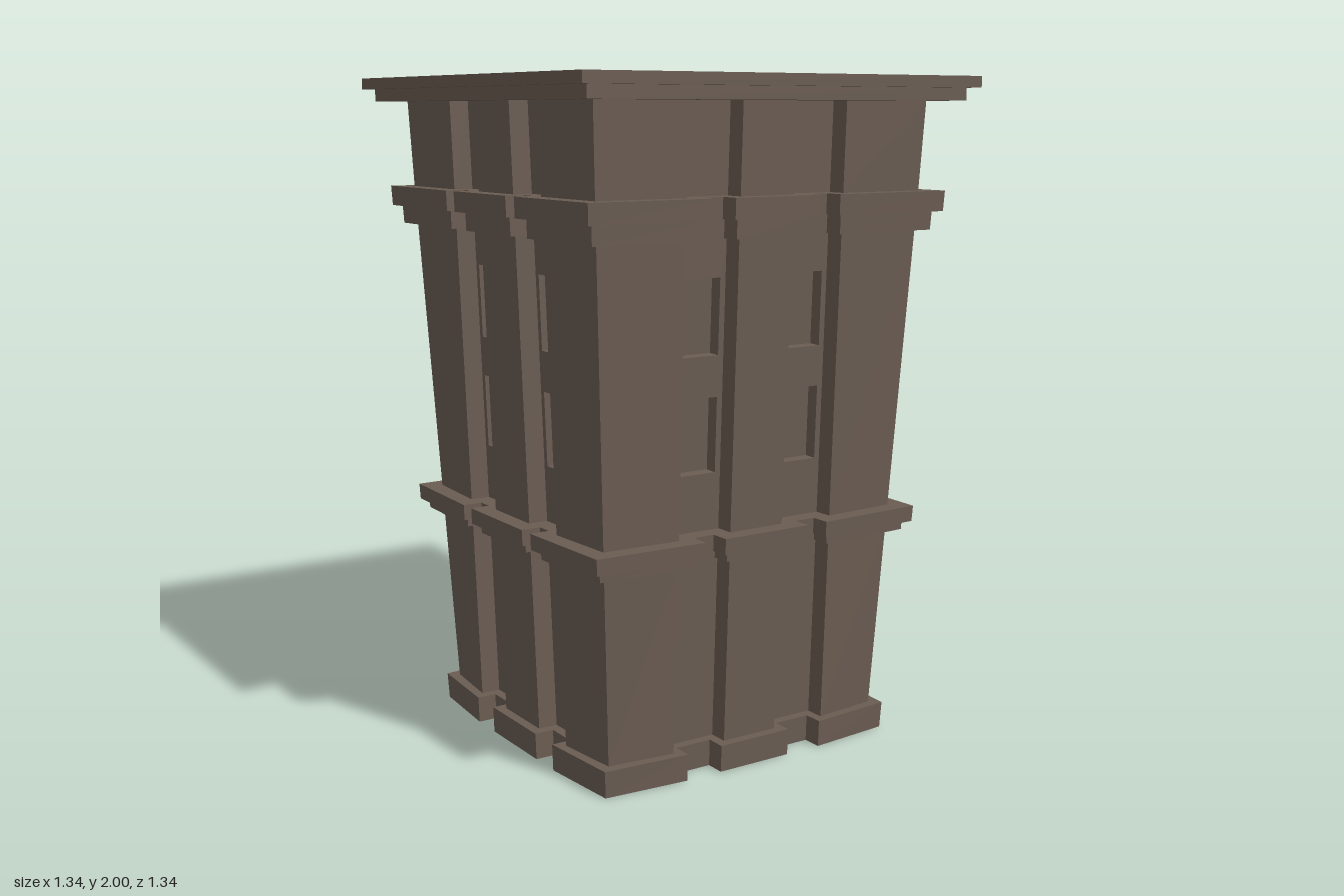
import * as THREE from 'three';

const SLOPE = 0.038;   // outward lean of the walls
const NOTCH = 0.06;    // depth of the vertical recesses
const REVEAL = 0.04;   // depth of the window openings
// per facing: half width at the ground, recess from a to b along the wall
const FACES = [
  { half: 0.495, a: 0.092, b: 0.27, win: 0.142 },   // front and back (along x)
  { half: 0.483, a: 0.104, b: 0.264, win: 0.126 },  // sides (along z)
];
const halfX = (y) => FACES[0].half + SLOPE * y;
const halfZ = (y) => FACES[1].half + SLOPE * y;

// Plan outline at height y, grown outward by o, with two recesses per wall
function outline(y, o, depth) {
  const bow = 0.022 * Math.max(0, 1 - y / 1.8);
  const pts = [];
  for (let k = 0; k < 4; k++) {
    const { a, b } = FACES[k % 2];
    const along = (k % 2 ? halfZ(y) : halfX(y)) + o;
    const out = (k % 2 ? halfX(y) : halfZ(y)) + o;
    const p = a + o, q = b - o, floor = out - depth;
    const run = [
      [-along + bow, out - bow], [-q, out], [-q, floor], [-p, floor], [-p, out],
      [p, out], [p, floor], [q, floor], [q, out],
    ];
    for (const [t, r] of run) {
      pts.push([[t, r], [r, -t], [-t, -r], [-r, t]][k]);
    }
  }
  return pts;
}

// Solid between two outlines, with flat faces
function loft(y0, y1, o, depth = NOTCH) {
  const low = outline(y0, o, depth), high = outline(y1, o, depth);
  const pos = [];
  const put = (ring, y, i) => pos.push(ring[i][0], y, ring[i][1]);
  const n = low.length;
  for (let i = 0; i < n; i++) {
    const j = (i + 1) % n;
    put(low, y0, i); put(low, y0, j); put(high, y1, j);
    put(low, y0, i); put(high, y1, j); put(high, y1, i);
  }
  const contour = low.map(([x, z]) => new THREE.Vector2(x, -z));
  for (const [i, j, k] of THREE.ShapeUtils.triangulateShape(contour, [])) {
    put(high, y1, i); put(high, y1, j); put(high, y1, k);
    put(low, y0, k); put(low, y0, j); put(low, y0, i);
  }
  const geo = new THREE.BufferGeometry();
  geo.setAttribute('position', new THREE.Float32BufferAttribute(pos, 3));
  geo.computeVertexNormals();
  return geo;
}

// Recess wall with two window openings
function windowPanel({ a, b, win }, y0, y1) {
  const w = (b - a) / 2, h = y1 - y0;
  const rect = (path, x, lo, hi) => {
    path.moveTo(-x, lo); path.lineTo(x, lo); path.lineTo(x, hi); path.lineTo(-x, hi);
    path.closePath();
    return path;
  };
  const shape = rect(new THREE.Shape(), w, 0, h);
  for (const [lo, hi] of [[0.885, 1.105], [1.225, 1.445]]) {
    shape.holes.push(rect(new THREE.Path(), win / 2, lo - y0, hi - y0));
  }
  return new THREE.ExtrudeGeometry(shape, { depth: REVEAL, bevelEnabled: false });
}

export function createModel() {
  const model = new THREE.Group();
  model.name = 'tower';
  const stone = new THREE.MeshStandardMaterial({ color: 0x6a5c52 });
  stone.name = 'brown stone';
  const add = (parent, name, geo) => {
    const mesh = new THREE.Mesh(geo, stone);
    mesh.name = name;
    parent.add(mesh);
    return mesh;
  };

  const body = new THREE.Group();
  body.name = 'body';
  body.position.z = -0.006;
  model.add(body);

  // Wall storeys, plinth and string courses
  add(body, 'plinth', loft(0, 0.08, 0.03));
  add(body, 'lowerWalls', loft(0.08, 0.64, 0));
  add(body, 'lowerBandMoulding', loft(0.64, 0.667, 0.034));
  add(body, 'lowerBand', loft(0.667, 0.715, 0.055));
  add(body, 'middleWalls', loft(0.715, 1.555, 0, NOTCH + REVEAL));
  add(body, 'upperBandMoulding', loft(1.555, 1.61, 0.032));
  add(body, 'upperBand', loft(1.61, 1.67, 0.055));
  add(body, 'topWalls', loft(1.67, 1.93, 0));

  // Window walls set into the recesses on all four sides
  const y0 = 0.7, y1 = 1.57;
  for (let k = 0; k < 4; k++) {
    const side = new THREE.Group();
    side.name = 'windowSide' + (k + 1);
    side.rotation.y = k * Math.PI / 2;
    body.add(side);
    const face = FACES[k % 2];
    const out = k % 2 ? halfX(y0) : halfZ(y0);
    for (const s of [-1, 1]) {
      const panel = add(side, 'windowWall', windowPanel(face, y0, y1));
      panel.position.set(s * (face.a + face.b) / 2, y0, out - NOTCH - REVEAL);
      panel.rotation.x = Math.atan(SLOPE);
    }
  }

  // Stepped square cornice
  for (const [name, size, lo, hi] of [
    ['corniceMoulding', 1.282, 1.93, 1.967],
    ['roofSlab', 1.342, 1.967, 2],
  ]) {
    add(model, name, new THREE.BoxGeometry(size, hi - lo, size)).position.y = (lo + hi) / 2;
  }
  return model;
}
